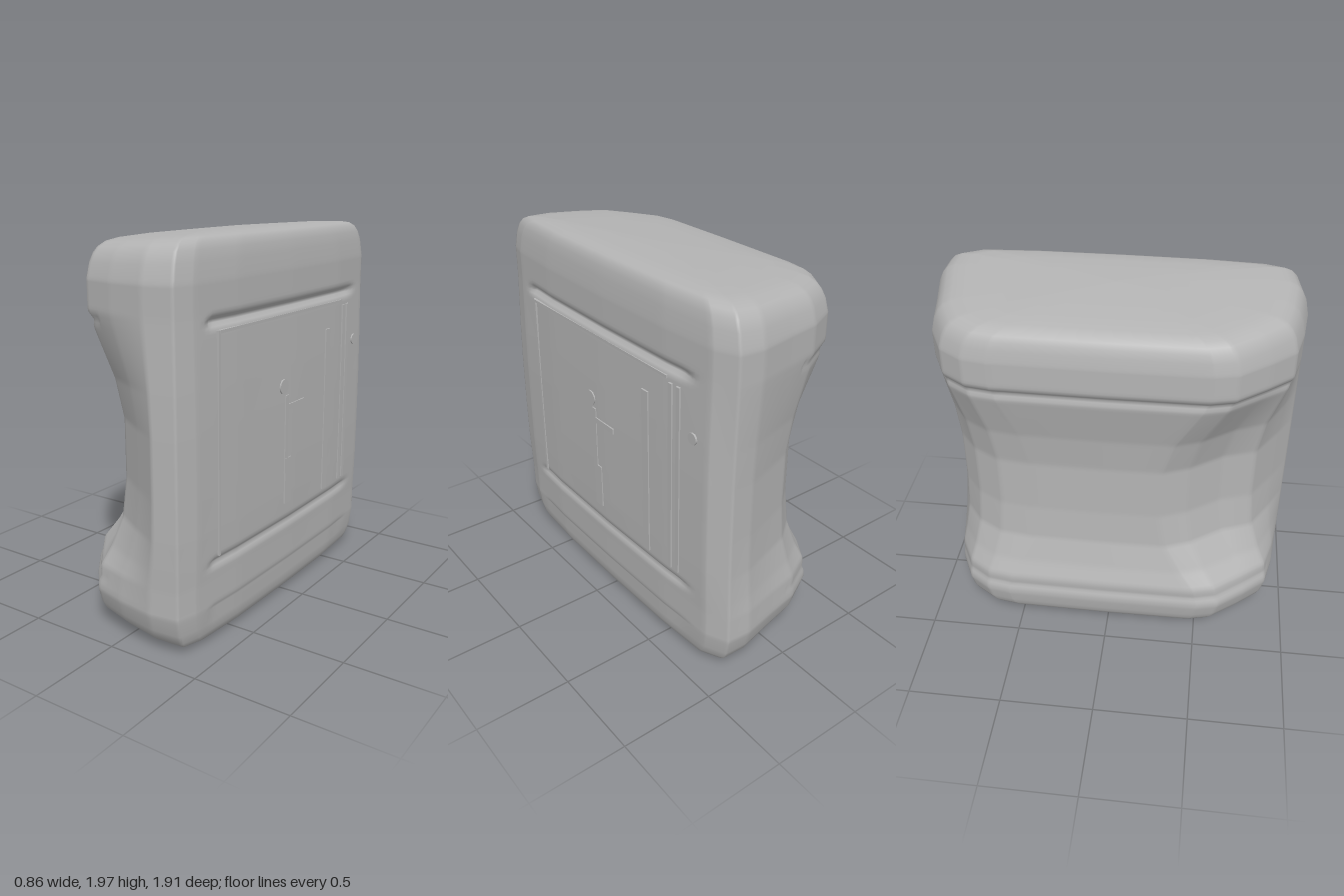
import * as THREE from 'three';

// Matching outlines [x, z] at the end blocks and at the pinched waist
const END = [[.41, 0], [.405, .5], [.385, .82], [.355, .93], [.2, .955], [0, .93], [-.17, .89], [-.28, .77], [-.4, .62], [-.43, .5],
  [-.435, 0], [-.43, -.55], [-.41, -.68], [-.33, -.8], [-.17, -.88], [0, -.91], [.2, -.95], [.33, -.94], [.385, -.82], [.405, -.5]];
const WAIST = [[.42, 0], [.41, .5], [.395, .82], [.365, .94], [.24, .96], [.09, .87], [-.08, .76], [-.14, .59], [-.26, .42], [-.32, .28],
  [-.325, 0], [-.32, -.4], [-.3, -.58], [-.22, -.72], [-.1, -.82], [.05, -.87], [.2, -.92], [.33, -.93], [.395, -.82], [.41, -.5]];

// Rounding of the ends: [distance from the end, scale of the outline]
const ROUND = [[0, 0], [.003, .3], [.008, .6], [.018, .8], [.03, .88], [.05, .925], [.08, .955], [.13, .98], [.2, .995]];
// Waist amount by height
const PINCH = [[.25, 0], [.36, .12], [.45, .45], [.6, .85], [.8, 1], [1.1, 1], [1.3, .75], [1.45, .4], [1.58, .1], [1.63, 0]];

const { smoothstep, clamp, lerp } = THREE.MathUtils;

function pinchAt(y) {
  if (y <= PINCH[0][0]) return 0;
  for (let i = 1; i < PINCH.length; i++) {
    const [y0, a] = PINCH[i - 1], [y1, b] = PINCH[i];
    if (y <= y1) return lerp(a, b, (y - y0) / (y1 - y0));
  }
  return 0;
}

const bump = (v, centre, width) => Math.exp(-(((v - centre) / width) ** 2));

function bodyGeometry() {
  const rows = ROUND.map(([d, s]) => [d, s]);
  for (let i = 1; i < 100; i++) rows.push([.2 + i * .016, 1]);
  for (const [d, s] of [...ROUND].reverse()) rows.push([2 - d, s]);

  const SUB = 10, N = END.length * SUB, pos = [], index = [];
  for (const [y, s] of rows) {
    const w = pinchAt(y);
    for (let j = 0; j < N; j++) {
      const k = Math.floor(j / SUB), n = (k + 1) % END.length, t = (j % SUB) / SUB;
      const at = c => lerp(lerp(END[k][c], END[n][c], t), lerp(WAIST[k][c], WAIST[n][c], t), w);
      let x = .05 + (at(0) - .05) * s;
      const z = at(1) * s;
      // grooves above and below the panel, and a crease on the grip side
      if (x > .3) {
        const across = smoothstep(z, -.75, -.6) * (1 - smoothstep(z, .68, .75));
        x -= across * (.032 * bump(y, 1.6, .02) + .018 * bump(y, .44, .018) + .008 * bump(y, .2, .016));
      } else if (x < -.1) {
        x += .02 * bump(y, 1.59, .022);
        x += .008 * bump(y, .3, .02);
      }
      // ends slope away towards the grip side
      const tilt = .055 * clamp((.35 - x) / .75, 0, 1);
      const yy = y + tilt * ((1 - smoothstep(y, .03, .3)) - smoothstep(y, 1.7, 1.97));
      pos.push(x, yy, z);
    }
  }
  for (let i = 0; i < rows.length - 1; i++) {
    for (let j = 0; j < N; j++) {
      const a = i * N + j, b = i * N + (j + 1) % N, c = a + N, d = b + N;
      index.push(a, c, b, b, c, d);
    }
  }
  const g = new THREE.BufferGeometry();
  g.setAttribute('position', new THREE.Float32BufferAttribute(pos, 3));
  g.setIndex(index);
  g.computeVertexNormals();
  return g;
}

export function createModel() {
  const group = new THREE.Group();
  const grey = new THREE.MeshStandardMaterial({ color: 0xb4b4b4 });
  grey.name = 'plain grey';

  const add = (name, geometry, x = 0, y = 0, z = 0) => {
    const m = new THREE.Mesh(geometry, grey);
    m.name = name;
    m.position.set(x, y, z);
    group.add(m);
    return m;
  };
  add('body', bodyGeometry());

  // Low relief on the panel: [name, z, bottom, top, width]
  const faceX = z => Math.abs(z) < .5 ? .42 - .02 * Math.abs(z) : .41 - .047 * (Math.abs(z) - .5);
  const reliefs = [
    ['tallBar', -.375, .5, 1.42, .05],
    ['railFront', -.565, .5, 1.53, .025],
    ['railBack', -.62, .5, 1.53, .025],
    ['panelEdge', .66, .47, 1.56, .015],
    ['centreStem', .07, .72, 1.14, .03],
    ['centreFoot', .05, .55, .8, .06],
    ['centreArm', -.02, 1.06, 1.09, .17],
    ['panelTopEdge', .06, 1.545, 1.56, 1.2],
  ];
  for (const [name, z, y0, y1, w] of reliefs) {
    const wide = w > 1;
    add(name, new THREE.BoxGeometry(.014, y1 - y0, w), wide ? .405 : faceX(z) - .001, (y0 + y1) / 2, z);
  }

  // Round studs
  for (const [y, z, r] of [[1.31, -.72, .03], [1.19, .1, .04]]) {
    add('stud', new THREE.CylinderGeometry(r, r, .014, 12), faceX(z) - .001, y, z).rotation.z = Math.PI / 2;
  }
  return group;
}
